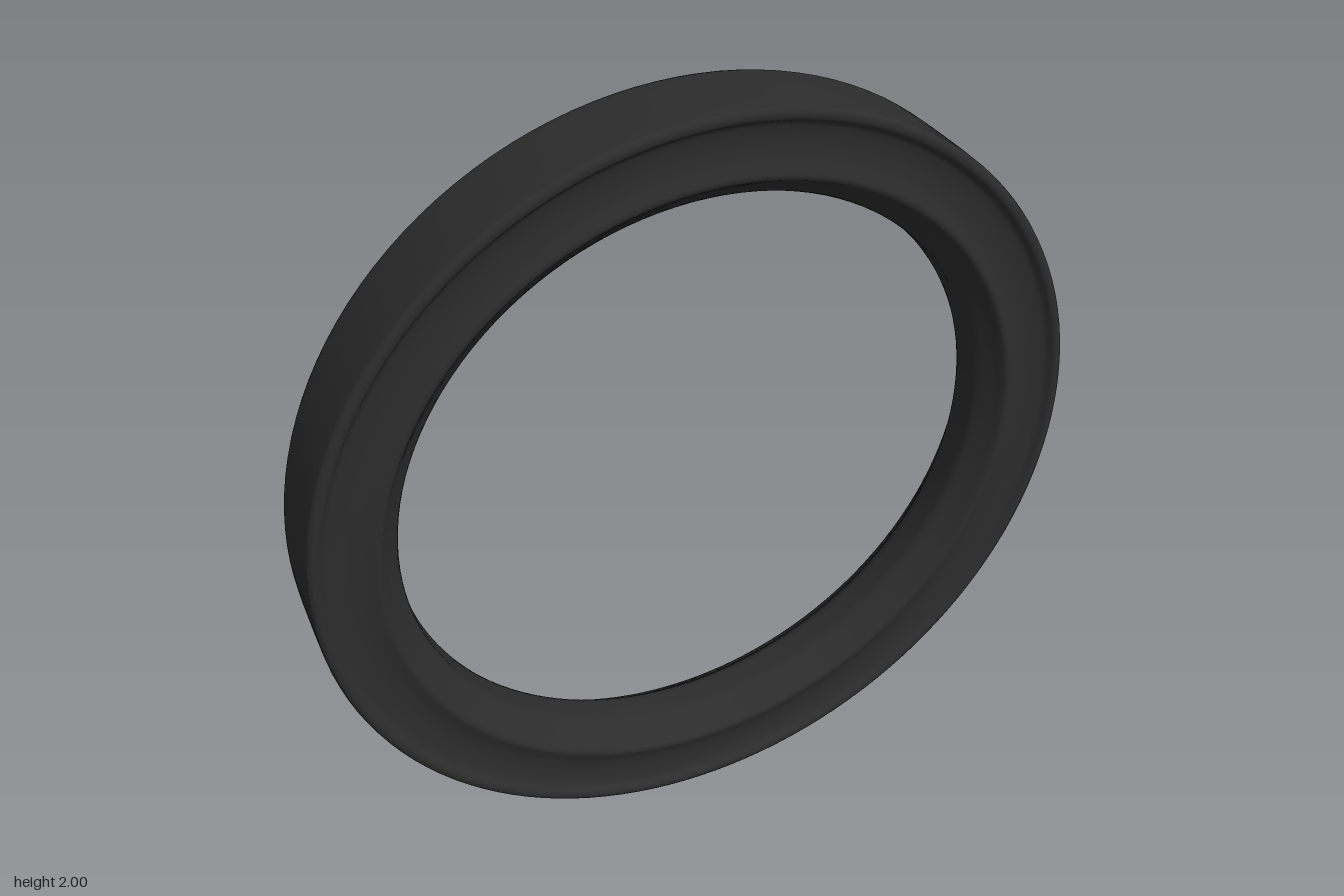
import * as THREE from 'three';

// Half of the tyre's cross-section, [radius, half width], from tread centre to bore centre
const HALF_SECTION = [
  [1.0, 0], [1.0, 0.06], [0.999, 0.1], [0.996, 0.109], [0.988, 0.114],
  [0.977, 0.114], [0.969, 0.109], [0.963, 0.101], [0.953, 0.096], // shoulder lip
  [0.93, 0.092], [0.905, 0.091], [0.88, 0.093], [0.86, 0.098], // hollow sidewall
  [0.847, 0.104], [0.838, 0.105], [0.829, 0.101], // bead ridge
  [0.82, 0.088], [0.808, 0.074], [0.793, 0.06], [0.781, 0.047], // bead slope
  [0.776, 0.036], [0.775, 0.025], [0.775, 0], // bore
];

export function createModel() {
  const group = new THREE.Group();
  group.name = 'tyreRing';

  // Mirror the half section into a closed loop that starts and ends on the flat bore
  const back = HALF_SECTION.slice(1).reverse().map(([r, w]) => new THREE.Vector2(r, -w));
  const front = HALF_SECTION.map(([r, w]) => new THREE.Vector2(r, w));
  const geometry = new THREE.LatheGeometry([...back, ...front], 128);
  geometry.rotateX(Math.PI / 2);
  geometry.translate(0, 1, 0);

  const rubber = new THREE.MeshStandardMaterial({ color: 0x2c2c2c });
  const tyre = new THREE.Mesh(geometry, rubber);
  tyre.name = 'tyre';
  group.add(tyre);
  return group;
}
